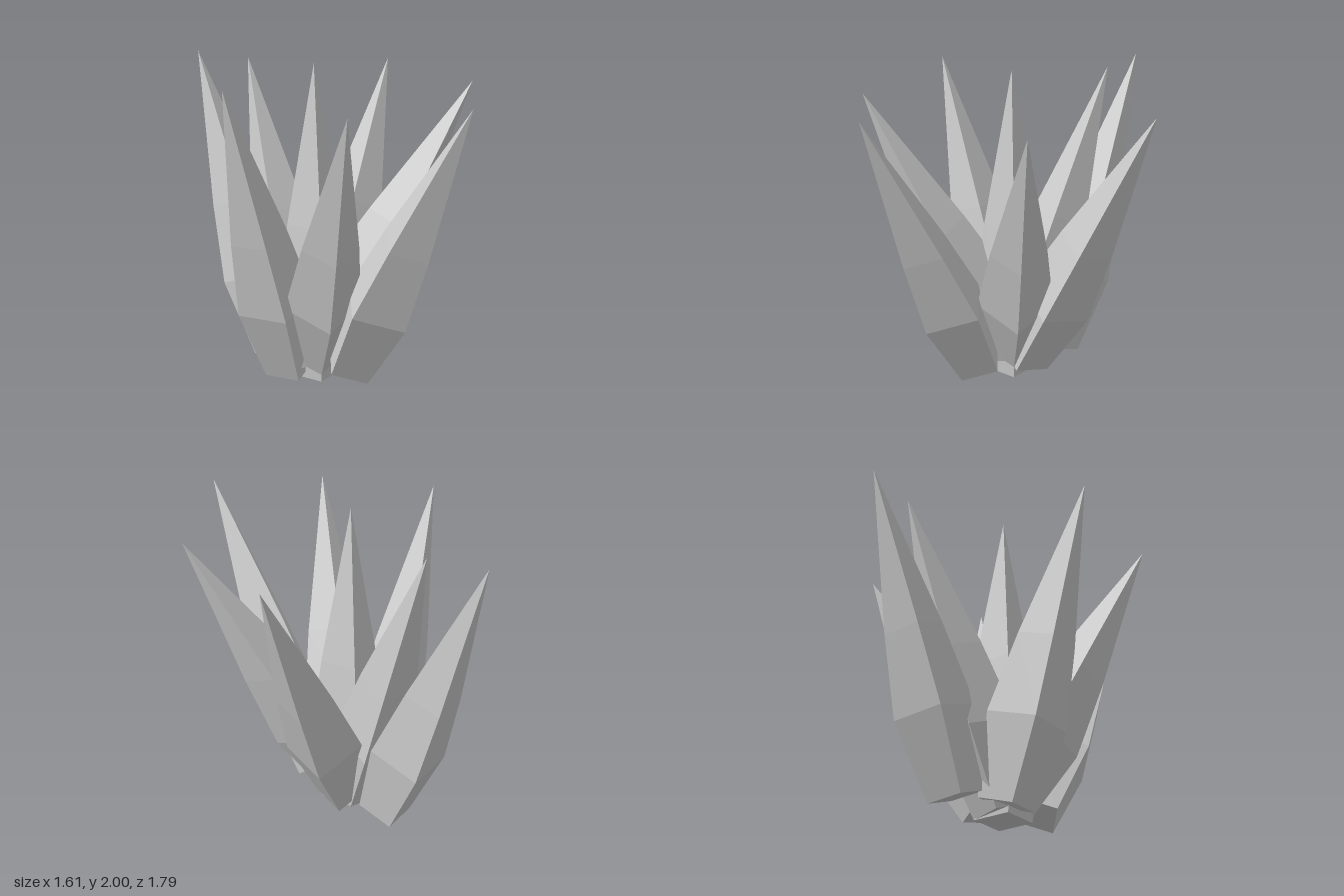
import * as THREE from 'three';

// Half profile of one leaf (radius, height): flat base, swollen belly, long point
const PROFILE = [[0, 0], [0.17, 0], [0.24, 0.5], [0.175, 1], [0, 2]]
  .map(([r, y]) => new THREE.Vector2(r, y));

// Each leaf: name, base centre, tip, twist of its square section in degrees
const LEAVES = [
  ['centreLeaf', [-0.2, 0, -0.03], [-0.2, 2, -0.03], 0],
  ['leftLeaf', [-0.2, 0.12, -0.03], [0.8, 1.85, -0.03], 0],
  ['frontLeftLeaf', [-0.035, 0.11, 0.19], [0.51, 1.89, 0.89], 52],
  ['frontLeaf', [-0.2, 0.09, -0.03], [-0.2, 1.87, 0.88], 0],
  ['frontRightLeaf', [-0.36, 0.045, -0.04], [-0.81, 1.95, 0.37], -4],
  ['backRightLeaf', [-0.38, 0.07, -0.33], [-0.79, 1.945, -0.9], 0],
  ['backLeftLeaf', [-0.15, 0.09, -0.11], [0.46, 1.86, -0.81], 21],
  ['innerBackLeaf', [-0.25, 0.045, -0.05], [-0.5, 1.935, -0.67], 21],
];

export function createModel() {
  const group = new THREE.Group();
  group.name = 'spikyPlant';
  const material = new THREE.MeshStandardMaterial({ color: 0xcccccc, flatShading: true });
  const geometry = new THREE.LatheGeometry(PROFILE, 4);
  const up = new THREE.Vector3(0, 1, 0);

  for (const [name, base, tip, twist] of LEAVES) {
    const leaf = new THREE.Mesh(geometry, material);
    leaf.name = name;
    leaf.position.set(...base);
    const axis = new THREE.Vector3(...tip).sub(leaf.position);
    leaf.scale.y = axis.length() / 2;
    // twist about its own axis first, then lean towards the tip
    const spin = new THREE.Quaternion().setFromAxisAngle(up, -THREE.MathUtils.degToRad(twist));
    leaf.quaternion.setFromUnitVectors(up, axis.normalize()).multiply(spin);
    group.add(leaf);
  }
  return group;
}
